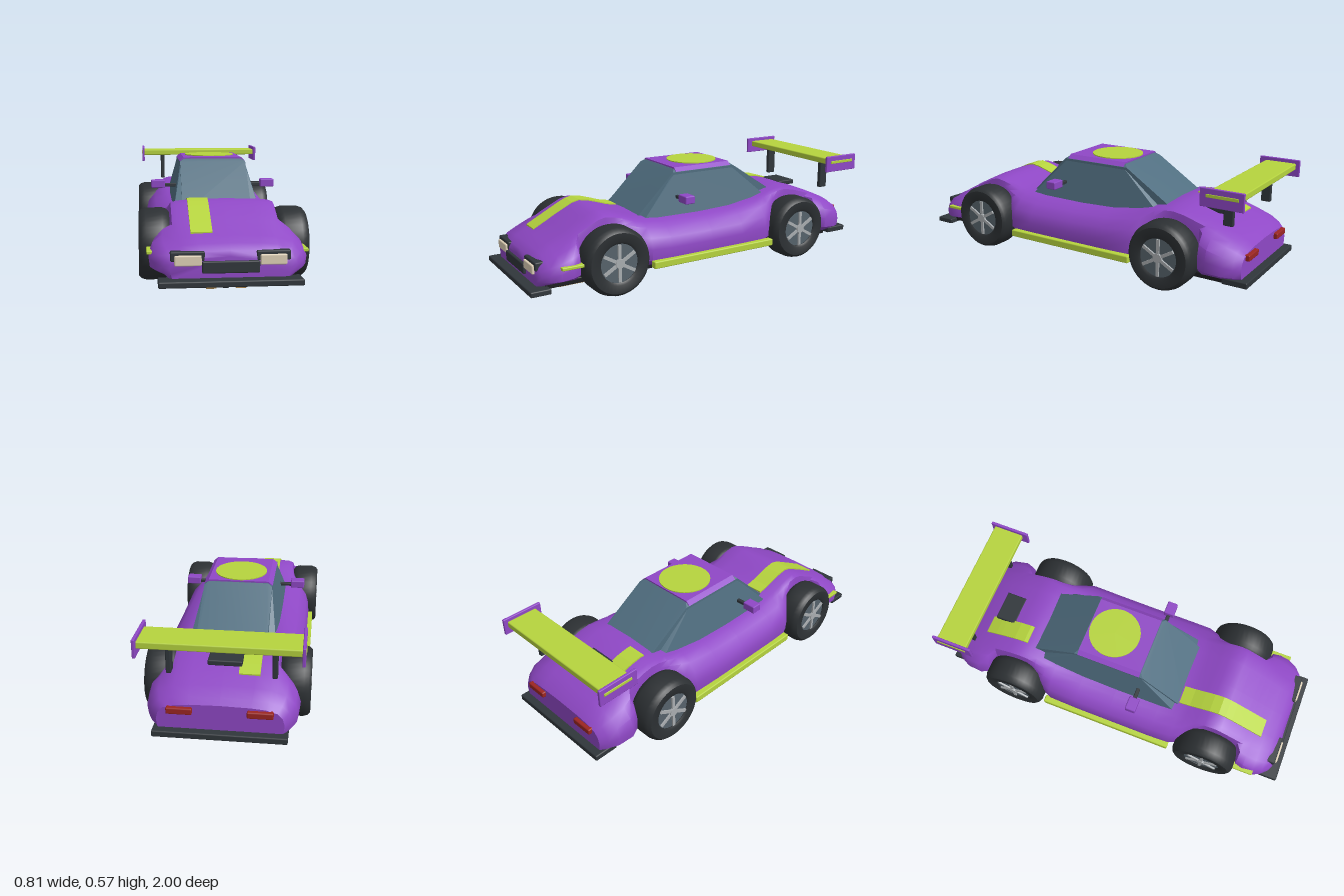
import * as THREE from 'three';
import { toCreasedNormals } from 'three/addons/utils/BufferGeometryUtils.js';
import { RoundedBoxGeometry } from 'three/addons/geometries/RoundedBoxGeometry.js';
import { ConvexGeometry } from 'three/addons/geometries/ConvexGeometry.js';

const mat = (color) => new THREE.MeshStandardMaterial({ color });
const M = {
  paint: mat(0x8f48c6), lime: mat(0xb6d43e), dark: mat(0x30363b), floor: mat(0x1d1e21),
  tyre: mat(0x2c3033), glass: mat(0x506e80), steel: mat(0x56626b), alloy: mat(0xa9adb0),
  lens: mat(0xe0d2b8), red: mat(0x9c2622), bronze: mat(0xb08a52),
};

// Body stations, nose to tail: z, half width, top height, half width of the top
const stations = [
  [0.95, 0.27, 0.195, 0.22], [0.935, 0.30, 0.218, 0.23], [0.9, 0.335, 0.245, 0.24],
  [0.85, 0.36, 0.27, 0.24], [0.79, 0.36, 0.302, 0.245], [0.75, 0.345, 0.323, 0.25],
  [0.72, 0.26, 0.34, 0.25], [0.65, 0.257, 0.375, 0.25], [0.61, 0.257, 0.394, 0.25],
  [0.57, 0.257, 0.403, 0.25], [0.52, 0.265, 0.395, 0.25], [0.47, 0.29, 0.38, 0.25],
  [0.41, 0.335, 0.36, 0.25], [0.36, 0.358, 0.349, 0.25], [0.25, 0.362, 0.338, 0.255],
  [0, 0.362, 0.335, 0.26], [-0.2, 0.362, 0.342, 0.26], [-0.36, 0.358, 0.364, 0.26],
  [-0.41, 0.335, 0.376, 0.26], [-0.47, 0.29, 0.391, 0.255], [-0.52, 0.265, 0.4, 0.25],
  [-0.57, 0.257, 0.404, 0.25], [-0.63, 0.257, 0.394, 0.25], [-0.72, 0.262, 0.367, 0.25],
  [-0.75, 0.335, 0.357, 0.25], [-0.8, 0.36, 0.338, 0.25], [-0.88, 0.352, 0.305, 0.25],
  [-0.93, 0.325, 0.277, 0.245], [-0.96, 0.295, 0.25, 0.235],
];

// Half cross-section from the centre top to the sill
function halfSection([, w, top, tw]) {
  const side = 0.1 + (top - 0.1) * 0.43;
  return [
    [0, top], [tw * 0.6, top - 0.003], [tw * 0.9, top - 0.009], [tw, top - 0.019],
    [tw + (w - tw) * 0.45, side + (top - side) * 0.72], [tw + (w - tw) * 0.85, side + (top - side) * 0.4],
    [w, side], [w * 0.985, 0.1 + (side - 0.1) * 0.45], [Math.min(w - 0.01, 0.275), 0.1],
  ];
}

function loftBody() {
  const pos = [], idx = [];
  for (const s of stations) {
    const half = halfSection(s);
    const ring = [...half, ...half.slice(1).reverse().map(([x, y]) => [-x, y])];
    for (const [x, y] of ring) pos.push(x, y, s[0]);
  }
  const n = pos.length / 3 / stations.length, last = (stations.length - 1) * n;
  for (let i = 0; i < stations.length - 1; i++)
    for (let j = 0; j < n; j++) {
      const a = i * n + j, b = i * n + (j + 1) % n;
      idx.push(a, b, a + n, b, b + n, a + n);
    }
  // Nose and tail caps
  for (let j = 1; j < n - 1; j++) idx.push(0, j + 1, j, last, last + j, last + j + 1);
  const g = new THREE.BufferGeometry();
  g.setAttribute('position', new THREE.Float32BufferAttribute(pos, 3));
  g.setIndex(idx);
  return toCreasedNormals(g, 0.75);
}

function topAt(z) {
  const i = Math.max(1, stations.findIndex((s) => s[0] <= z));
  const [a, b] = [stations[i - 1], stations[i]];
  return b[2] + (a[2] - b[2]) * (z - b[0]) / (a[0] - b[0]);
}

export function createModel() {
  const car = new THREE.Group();
  car.name = 'raceCar';

  const add = (name, geo, material, parent = car) => {
    const m = new THREE.Mesh(geo, material);
    m.name = name;
    parent.add(m);
    return m;
  };
  // Softly bevelled box given by its min and max on each axis
  const box = (name, material, x0, x1, y0, y1, z0, z1, parent = car) => {
    const d = [x1 - x0, y1 - y0, z1 - z0];
    const m = add(name, new RoundedBoxGeometry(...d, 1, Math.min(0.006, Math.min(...d) * 0.25)), material, parent);
    m.position.set((x0 + x1) / 2, (y0 + y1) / 2, (z0 + z1) / 2);
    return m;
  };
  // The same box on both sides of the car
  const pair = (name, material, x0, x1, ...rest) => {
    box(name + 'Left', material, x0, x1, ...rest);
    box(name + 'Right', material, -x1, -x0, ...rest);
  };
  const hull = (name, material, pts) =>
    add(name, toCreasedNormals(new ConvexGeometry(pts.map((p) => new THREE.Vector3(...p))), 0.3), material);

  add('body', loftBody(), M.paint);
  box('underfloor', M.floor, -0.275, 0.275, 0.078, 0.108, -0.87, 0.91);
  box('frontSplitter', M.dark, -0.322, 0.322, 0.068, 0.096, 0.895, 1);
  box('rearDiffuser', M.dark, -0.312, 0.312, 0.09, 0.122, -1, -0.87);
  pair('sideSkirt', M.lime, 0.345, 0.385, 0.112, 0.15, -0.39, 0.365);

  // Cabin: central glass with chamfered top edges, then flared side windows
  const glass = [];
  for (const s of [-1, 1]) {
    glass.push([s * 0.178, 0.3, 0.39], [s * 0.178, 0.3, -0.64], [s * 0.178, 0.548, 0.135], [s * 0.178, 0.548, -0.255],
      [s * 0.157, 0.562, 0.118], [s * 0.157, 0.562, -0.238]);
    hull(s > 0 ? 'sideWindowLeft' : 'sideWindowRight', M.glass, [
      [s * 0.17, 0.545, 0.125], [s * 0.17, 0.545, -0.24], [s * 0.176, 0.545, 0.12], [s * 0.176, 0.545, -0.235],
      [s * 0.17, 0.32, 0.35], [s * 0.17, 0.32, -0.52], [s * 0.222, 0.32, 0.34], [s * 0.222, 0.32, -0.5],
    ]);
  }
  hull('cabinGlass', M.glass, glass);
  const roof = [];
  for (const s of [-1, 1]) for (const z of [0.115, -0.235])
    roof.push([s * 0.157, 0.57, z], [s * 0.18, 0.55, z], [s * 0.157, 0.55, z]);
  hull('roof', M.paint, roof);
  const disc = add('roofDisc', new THREE.CylinderGeometry(0.138, 0.138, 0.006, 40), M.lime);
  disc.position.set(0, 0.572, 0.09);
  disc.position.z = -0.092;

  // Stripes following the deck on the car's right
  const stripe = (name, zs) => {
    const shape = new THREE.Shape(zs.map((z) => new THREE.Vector2(-z, topAt(z) + 0.004))
      .concat([...zs].reverse().map((z) => new THREE.Vector2(-z, topAt(z) - 0.012))));
    const g = new THREE.ExtrudeGeometry(shape, { depth: 0.1, bevelEnabled: false });
    g.rotateY(Math.PI / 2);
    add(name, g, M.lime).position.x = -0.17;
  };
  stripe('bonnetStripe', [0.83, 0.79, 0.75, 0.65, 0.61, 0.57, 0.52, 0.47, 0.41, 0.35]);
  stripe('rearStripe', [-0.55, -0.57, -0.63, -0.72, -0.75, -0.81]);
  box('engineVent', M.dark, -0.083, 0.08, 0.358, 0.385, -0.785, -0.67);

  // Nose details
  box('grille', M.dark, -0.128, 0.128, 0.122, 0.176, 0.925, 0.965);
  pair('headlightHousing', M.dark, 0.115, 0.268, 0.175, 0.218, 0.905, 0.952);
  pair('headlight', M.lens, 0.13, 0.25, 0.156, 0.203, 0.92, 0.963);
  pair('sideMarker', M.lime, 0.33, 0.37, 0.189, 0.205, 0.74, 0.855);
  box('keel', M.dark, -0.016, 0.016, 0.004, 0.085, 0.57, 0.77);
  pair('skidStrip', M.bronze, 0.046, 0.095, 0.003, 0.013, 0.57, 0.77);
  pair('tailLight', M.red, 0.125, 0.245, 0.203, 0.235, -0.98, -0.94);

  // Mirrors
  pair('mirrorArm', M.dark, 0.195, 0.27, 0.412, 0.43, 0.112, 0.132);
  pair('mirror', M.paint, 0.26, 0.335, 0.408, 0.45, 0.095, 0.152);

  // Rear wing
  box('wingBlade', M.lime, -0.368, 0.368, 0.52, 0.554, -0.97, -0.802);
  pair('wingPost', M.dark, 0.23, 0.255, 0.362, 0.525, -0.89, -0.838);
  pair('wingEndPlate', M.paint, 0.364, 0.379, 0.482, 0.572, -0.99, -0.77);
  pair('endPlateBar', M.lime, 0.374, 0.382, 0.529, 0.545, -0.965, -0.802);

  // Wheels: tyre of revolution, rim disc, hub and six spokes, facing outward
  const tyreProfile = [[0.1, 0.255], [0.155, 0.258], [0.168, 0.27], [0.175, 0.292], [0.175, 0.37],
    [0.168, 0.392], [0.155, 0.404], [0.112, 0.404], [0.1, 0.396], [0.1, 0.255]];
  const tyreGeo = toCreasedNormals(
    new THREE.LatheGeometry(tyreProfile.map(([r, y]) => new THREE.Vector2(r, y)), 40), 0.6);
  for (const s of [1, -1]) for (const z of [0.57, -0.57]) {
    const wheel = new THREE.Group();
    wheel.name = (z > 0 ? 'front' : 'rear') + 'Wheel' + (s > 0 ? 'Left' : 'Right');
    wheel.position.set(0, 0.186, z);
    wheel.rotation.z = -s * Math.PI / 2;
    add('tyre', tyreGeo, M.tyre, wheel);
    add('rim', new THREE.CylinderGeometry(0.102, 0.102, 0.13, 32), M.steel, wheel).position.y = 0.328;
    add('hub', new THREE.CylinderGeometry(0.024, 0.024, 0.02, 16), M.alloy, wheel).position.y = 0.396;
    for (let i = 0; i < 6; i++) {
      const a = i * Math.PI / 3;
      const spoke = add('spoke', new THREE.BoxGeometry(0.08, 0.012, 0.016), M.alloy, wheel);
      spoke.position.set(Math.cos(a) * 0.056, 0.396, Math.sin(a) * 0.056);
      spoke.rotation.y = -a;
    }
    car.add(wheel);
  }
  return car;
}
